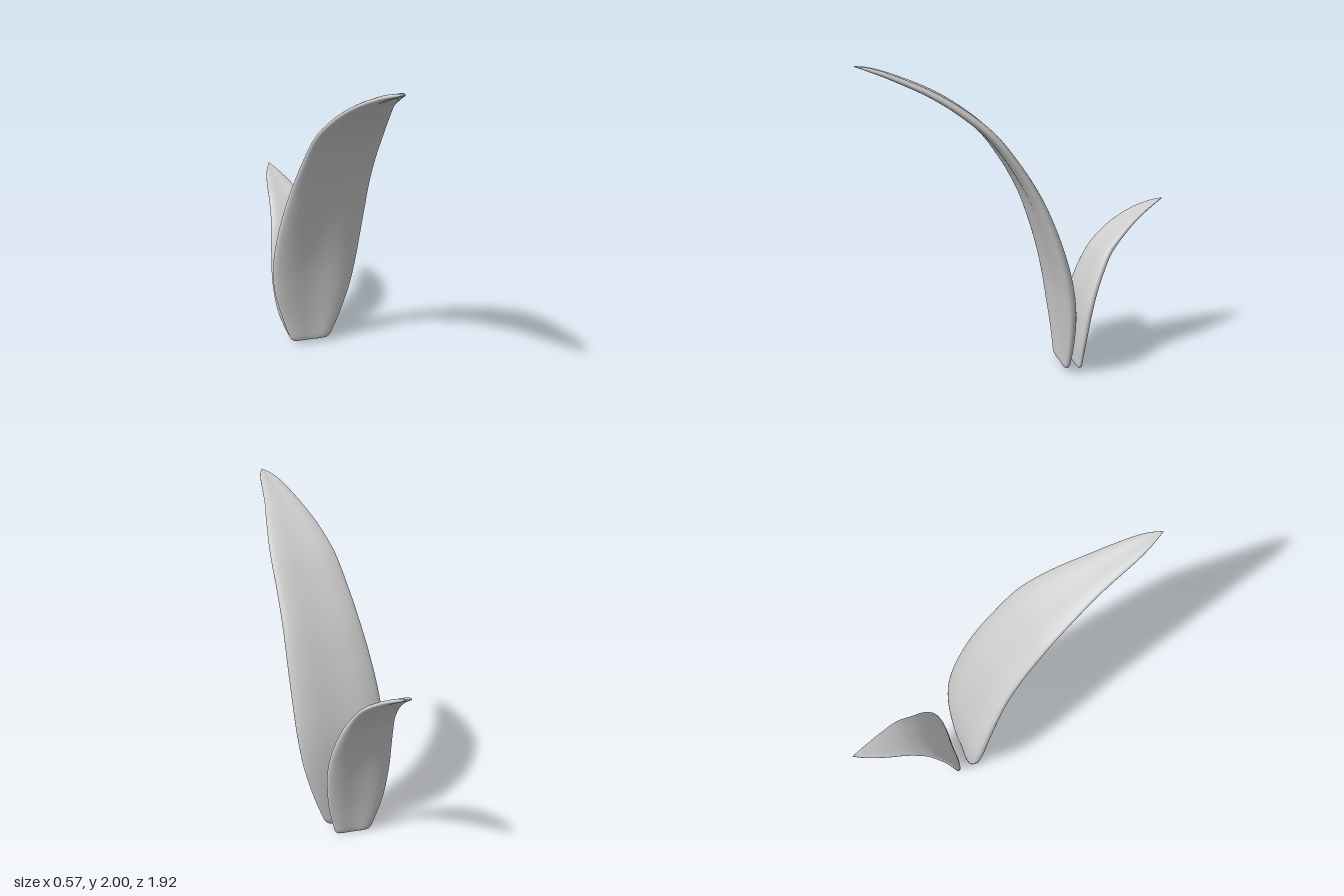
import * as THREE from 'three';

const SIDES = 48, STEPS = 84;

// Lofts a thick curling leaf. Each row: [y, z of outer face, thickness, left edge x, right edge x]
function leafGeometry(rows) {
  const spine = new THREE.CatmullRomCurve3(rows.map(r => new THREE.Vector3(0, r[0], r[1])), false, 'catmullrom');
  const shape = new THREE.CatmullRomCurve3(rows.map(r => new THREE.Vector3(r[3], r[4], r[2])), false, 'catmullrom');
  const pos = [], index = [];
  for (let i = 0; i <= STEPS; i++) {
    const t = (i / STEPS) ** 1.6;
    const p = spine.getPoint(t), tan = spine.getTangent(t), s = shape.getPoint(t);
    const depth = Math.max(s.z, 0.002);
    // soft rounding of the foot
    const foot = Math.sqrt(1 - (1 - Math.min(t / 0.018, 1)) ** 2);
    const half = (s.y - s.x) / 2 * (0.8 + 0.2 * foot);
    for (let j = 0; j < SIDES; j++) {
      const a = (j / SIDES) * Math.PI * 2;
      const c = Math.cos(a), v = Math.sin(a);
      const u = -Math.sign(c) * Math.abs(c) ** 0.85;
      // blunt rounded rim, a shallow groove outside and a slight hollow inside
      const rim = -0.5 * Math.sign(v) * Math.abs(v) ** 0.75;
      const mid = (1 - u * u) ** 4;
      const hollow = v > 0 ? 0.13 * mid : -0.17 * mid;
      const off = depth * (0.5 + (rim + hollow - 0.08 * u) * (0.45 + 0.55 * foot));
      pos.push((s.x + s.y) / 2 + u * half, p.y - tan.z * off, p.z + tan.y * off);
    }
  }
  for (let i = 0; i < STEPS; i++) {
    for (let j = 0; j < SIDES; j++) {
      const a = i * SIDES + j, b = i * SIDES + (j + 1) % SIDES;
      index.push(a, a + SIDES, b, b, a + SIDES, b + SIDES);
    }
  }
  // close the base and the tip
  const last = STEPS * SIDES;
  for (let j = 0; j < SIDES / 2; j++) {
    const k = (SIDES - j) % SIDES, k2 = SIDES - j - 1;
    index.push(j, j + 1, k2, j, k2, k);
    index.push(last + j, last + k2, last + j + 1, last + j, last + k, last + k2);
  }
  const g = new THREE.BufferGeometry();
  g.setAttribute('position', new THREE.Float32BufferAttribute(pos, 3));
  g.setIndex(index);
  g.computeVertexNormals();
  return g;
}

const TALL = [
  [0.026, -0.295, 0.052, -0.168, 0.09],
  [0.2, -0.303, 0.071, -0.222, 0.16],
  [0.4, -0.302, 0.093, -0.272, 0.22],
  [0.6, -0.28, 0.102, -0.286, 0.252],
  [0.8, -0.23, 0.099, -0.27, 0.267],
  [1.0, -0.16, 0.092, -0.24, 0.275],
  [1.2, -0.07, 0.081, -0.202, 0.278],
  [1.4, 0.052, 0.07, -0.162, 0.281],
  [1.6, 0.207, 0.061, -0.118, 0.283],
  [1.75, 0.388, 0.053, -0.06, 0.26],
  [1.86, 0.568, 0.045, 0.0, 0.228],
  [1.95, 0.77, 0.035, 0.06, 0.201],
  [1.987, 0.88, 0.025, 0.103, 0.18],
  [2.0, 0.96, 0.006, 0.146, 0.152],
];

const SHORT = [
  [0.003, 0.343, 0.04, -0.06, 0.16],
  [0.2, 0.343, 0.058, -0.105, 0.232],
  [0.4, 0.36, 0.073, -0.12, 0.26],
  [0.55, 0.398, 0.073, -0.108, 0.258],
  [0.7, 0.463, 0.07, -0.075, 0.245],
  [0.8, 0.532, 0.061, -0.042, 0.232],
  [0.9, 0.643, 0.047, -0.007, 0.222],
  [0.97, 0.768, 0.034, 0.056, 0.213],
  [1.012, 0.88, 0.022, 0.115, 0.192],
  [1.03, 0.96, 0.005, 0.157, 0.163],
];

export function createModel() {
  const group = new THREE.Group();
  const material = new THREE.MeshStandardMaterial({ color: 0xcccccc });

  const tall = new THREE.Mesh(leafGeometry(TALL), material);
  tall.name = 'tallLeaf';

  // the short leaf curls the opposite way
  const short = new THREE.Mesh(leafGeometry(SHORT), material);
  short.name = 'shortLeaf';
  short.rotation.y = Math.PI;

  group.add(tall, short);
  return group;
}
